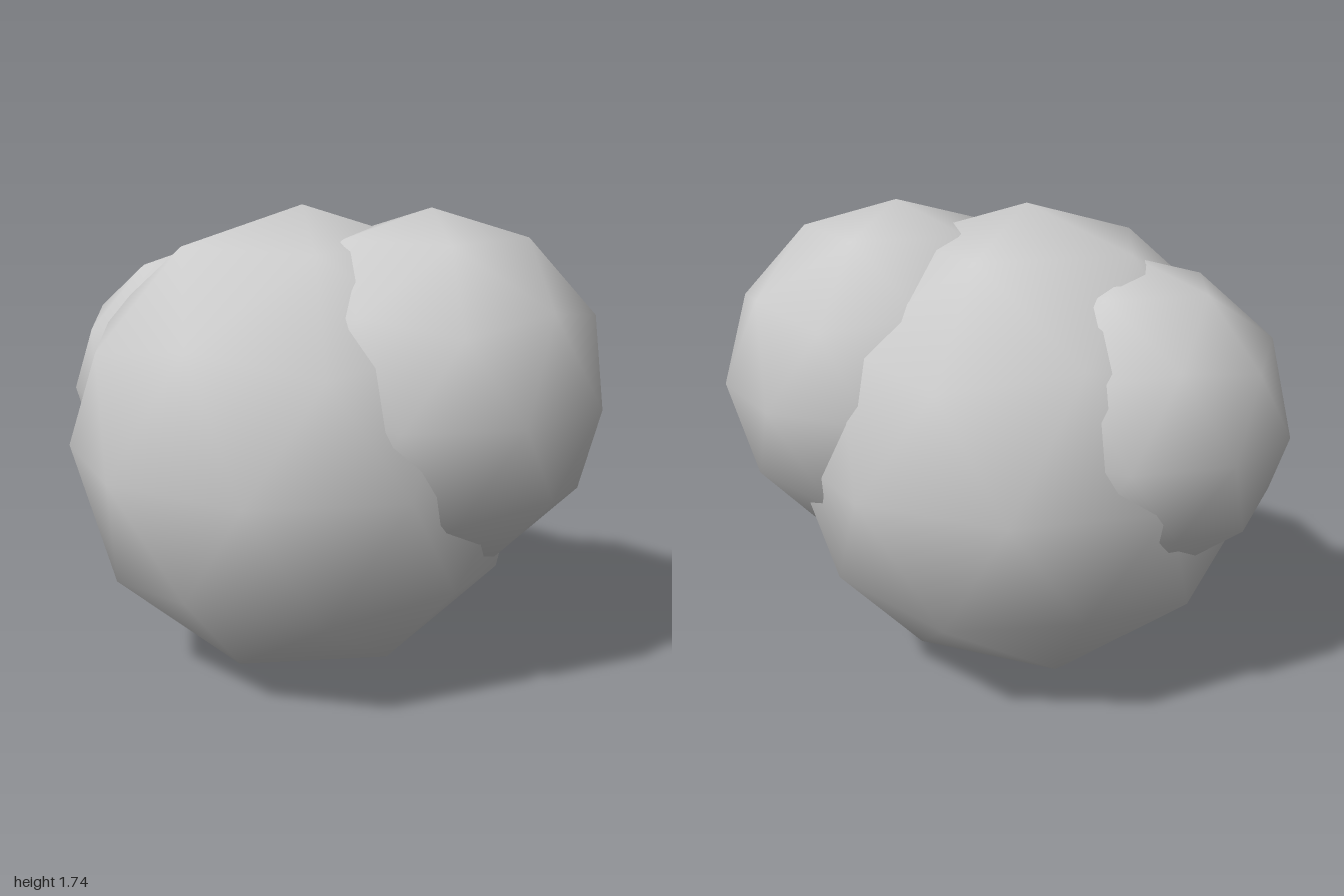
import * as THREE from 'three';

// Low-poly ball with smooth normals, turned so one vertex points straight up
function ballGeometry(radius) {
  const geometry = new THREE.IcosahedronGeometry(radius, 1);
  geometry.rotateZ(-Math.atan(2 / (1 + Math.sqrt(5))));
  return geometry;
}

export function createModel() {
  const group = new THREE.Group();
  group.name = 'puffCluster';
  const material = new THREE.MeshStandardMaterial({ color: 0xcccccc });

  // Three overlapping puffs: large centre, medium at left, small at right and back
  const puffs = [
    { name: 'mainPuff', radius: 0.8685, position: [-0.085, 0.8685, 0] },
    { name: 'leftPuff', radius: 0.645, position: [0.3865, 1.092, 0.05] },
    { name: 'rightBackPuff', radius: 0.5705, position: [-0.4575, 1.0175, -0.1985] },
  ];
  for (const { name, radius, position } of puffs) {
    const mesh = new THREE.Mesh(ballGeometry(radius), material);
    mesh.name = name;
    mesh.position.set(...position);
    group.add(mesh);
  }
  return group;
}
